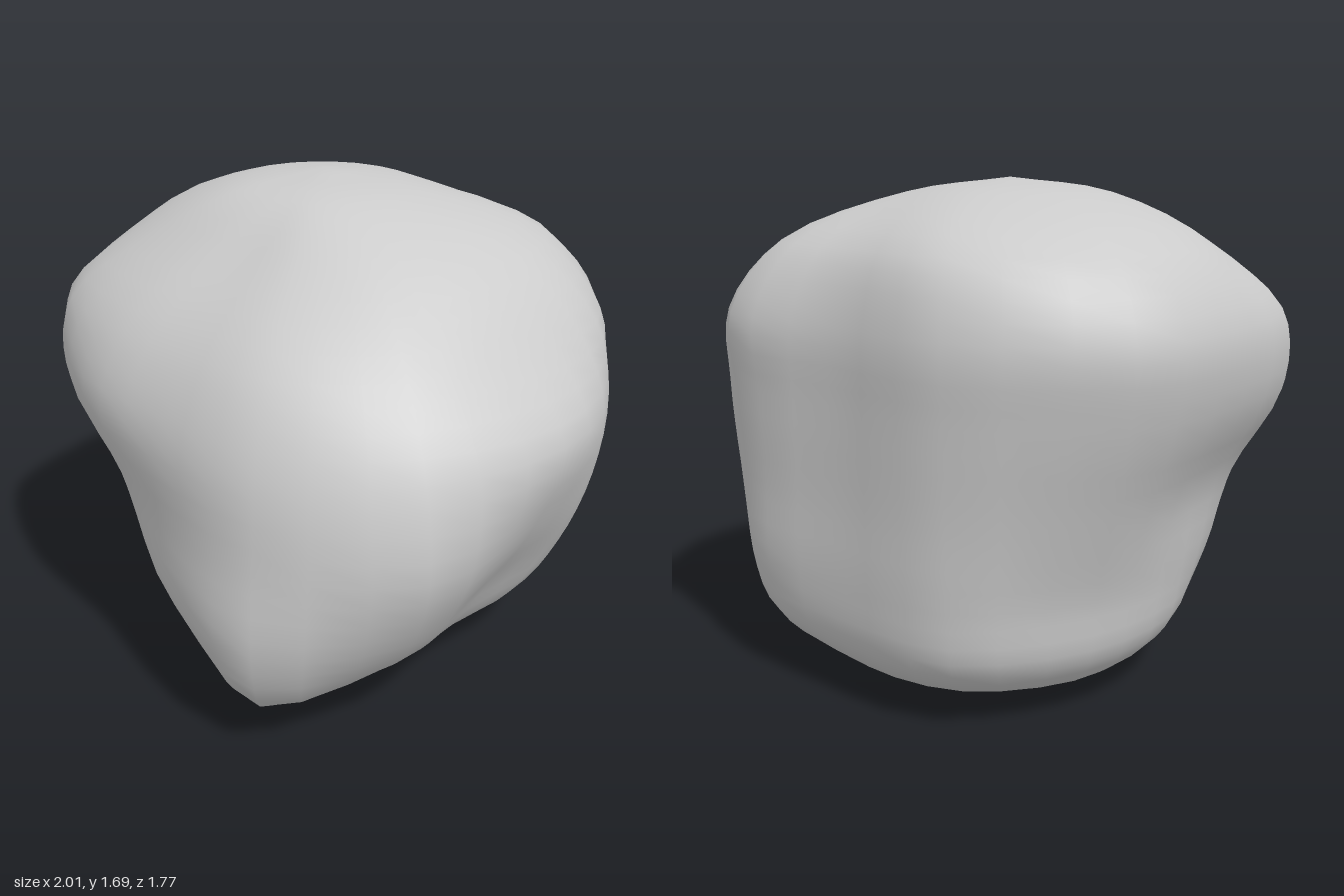
import * as THREE from 'three';
import { mergeVertices } from 'three/addons/utils/BufferGeometryUtils.js';

// Cross-sections of the boulder: height, then radii every 30 degrees from +x towards +z
const RINGS = [
  { y: 0.06, r: [0.37, 0.43, 0.52, 0.42, 0.38, 0.42, 0.53, 0.62, 0.66, 0.64, 0.56, 0.42] },
  { y: 0.2, r: [0.6, 0.7, 0.92, 0.63, 0.54, 0.62, 0.71, 0.8, 0.88, 0.8, 0.84, 0.7] },
  { y: 0.42, r: [0.74, 0.92, 1.0, 0.78, 0.68, 0.74, 0.77, 0.85, 0.93, 0.84, 0.92, 0.85] },
  { y: 0.7, r: [0.91, 1.05, 0.97, 0.8, 0.76, 0.83, 0.82, 0.95, 0.96, 0.84, 0.93, 0.95] },
  { y: 1.0, r: [1.0, 1.0, 0.92, 0.81, 0.87, 0.99, 0.97, 1.06, 0.99, 0.84, 0.95, 0.98] },
  { y: 1.25, r: [0.82, 0.82, 0.78, 0.69, 0.78, 0.97, 0.99, 1.1, 1.0, 0.83, 0.96, 0.92] },
  { y: 1.48, r: [0.59, 0.53, 0.47, 0.42, 0.5, 0.68, 0.83, 0.95, 0.9, 0.73, 0.79, 0.7] },
  { y: 1.64, r: [0.22, 0.2, 0.19, 0.19, 0.23, 0.35, 0.46, 0.53, 0.51, 0.42, 0.35, 0.27] },
];
const BOTTOM = new THREE.Vector3(-0.1, 0, -0.1);
const TOP = new THREE.Vector3(-0.13, 1.69, -0.12);

function boulderGeometry(rows = 36, sides = 36) {
  // One smooth meridian per angle, from the underside to the crown
  const meridians = RINGS[0].r.map((_, k, all) => {
    const a = (k / all.length) * Math.PI * 2;
    const ring = RINGS.map(({ y, r }) => new THREE.Vector3(r[k] * Math.cos(a), y, r[k] * Math.sin(a)));
    return new THREE.CatmullRomCurve3([BOTTOM, ...ring, TOP]);
  });

  // Smooth closed loops across the meridians
  const positions = [];
  const index = [];
  for (let i = 0; i <= rows; i++) {
    const pole = i === 0 ? BOTTOM : i === rows ? TOP : null;
    const loop = new THREE.CatmullRomCurve3(meridians.map((m) => m.getPoint(i / rows)), true);
    for (let j = 0; j < sides; j++) {
      const p = pole || loop.getPoint(j / sides);
      positions.push(p.x, p.y, p.z);
    }
  }

  // Skin between neighbouring loops, single triangles at the poles
  for (let i = 0; i < rows; i++) {
    for (let j = 0; j < sides; j++) {
      const a = i * sides + j;
      const b = i * sides + ((j + 1) % sides);
      const c = a + sides;
      const d = b + sides;
      if (i < rows - 1) index.push(a, c, d);
      if (i > 0) index.push(a, d, b);
    }
  }

  let geometry = new THREE.BufferGeometry();
  geometry.setAttribute('position', new THREE.Float32BufferAttribute(positions, 3));
  geometry.setIndex(index);
  geometry = mergeVertices(geometry);
  geometry.computeVertexNormals();
  return geometry;
}

export function createModel() {
  const model = new THREE.Group();
  model.name = 'rock';
  const boulder = new THREE.Mesh(boulderGeometry(), new THREE.MeshStandardMaterial({ color: 0xcccccc }));
  boulder.name = 'boulder';
  model.add(boulder);
  return model;
}
